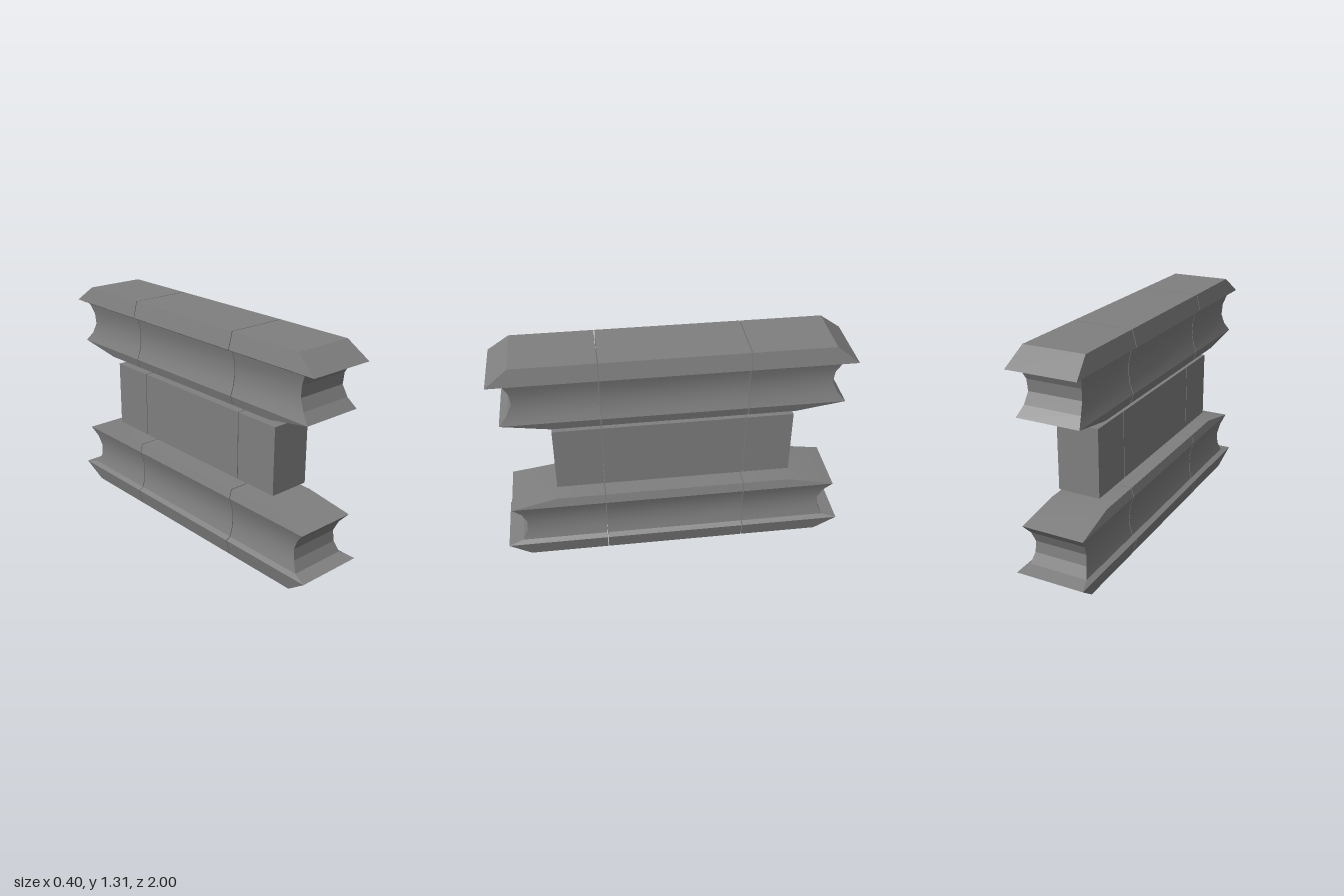
import * as THREE from 'three';
import { toCreasedNormals } from 'three/addons/utils/BufferGeometryUtils.js';

const HEIGHT = 1.31;

// Moulding levels: [y, half width, half length]
const MOULDING = [
  [0, 0.176, 0.875], [0.095, 0.2, 1], [0.11, 0.172, 0.915], [0.17, 0.156, 0.886],
  [0.235, 0.153, 0.88], [0.298, 0.162, 0.909], [0.353, 0.181, 0.957], [0.405, 0.166, 0.685],
];
const BLOCK = [[0.458, 0.123, 0.685], [0.852, 0.123, 0.685]];

// Lengthwise sections, split by narrow joints; each gives its back and front z at a level
const SECTIONS = [
  ['front', () => 0.412, (l) => l],
  ['middle', () => -0.407, () => 0.407],
  ['back', (l) => -l, () => -0.412],
];

// Stack of rectangles joined into a closed solid, levels ordered upward
function loft(levels, backZ, frontZ) {
  const rings = levels.map(([y, w, l]) => [
    [-w, y, frontZ(l)], [w, y, frontZ(l)], [w, y, backZ(l)], [-w, y, backZ(l)],
  ]);
  const positions = [];
  const quad = (a, b, c, d) => positions.push(...a, ...b, ...c, ...a, ...c, ...d);
  for (let i = 0; i < rings.length - 1; i++) {
    for (let j = 0; j < 4; j++) {
      const k = (j + 1) % 4;
      quad(rings[i][j], rings[i][k], rings[i + 1][k], rings[i + 1][j]);
    }
  }
  const bottom = rings[0];
  quad(bottom[3], bottom[2], bottom[1], bottom[0]);
  quad(...rings[rings.length - 1]);
  const geometry = new THREE.BufferGeometry();
  geometry.setAttribute('position', new THREE.Float32BufferAttribute(positions, 3));
  // Long coves shade smoothly, the end coves stay faceted
  return toCreasedNormals(geometry, THREE.MathUtils.degToRad(14));
}

export function createModel() {
  const model = new THREE.Group();
  model.name = 'mouldedWall';
  // Dark stone
  const material = new THREE.MeshStandardMaterial({ color: 0x7f7f7f });

  // The top moulding is the base moulding turned upside down
  const upperMoulding = MOULDING.map(([y, w, l]) => [HEIGHT - y, w, l]).reverse();
  const courses = { baseMoulding: MOULDING, wallBlock: BLOCK, topMoulding: upperMoulding };

  for (const [name, levels] of Object.entries(courses)) {
    const course = new THREE.Group();
    course.name = name;
    for (const [place, backZ, frontZ] of SECTIONS) {
      const mesh = new THREE.Mesh(loft(levels, backZ, frontZ), material);
      mesh.name = `${name} ${place} section`;
      course.add(mesh);
    }
    model.add(course);
  }
  return model;
}
